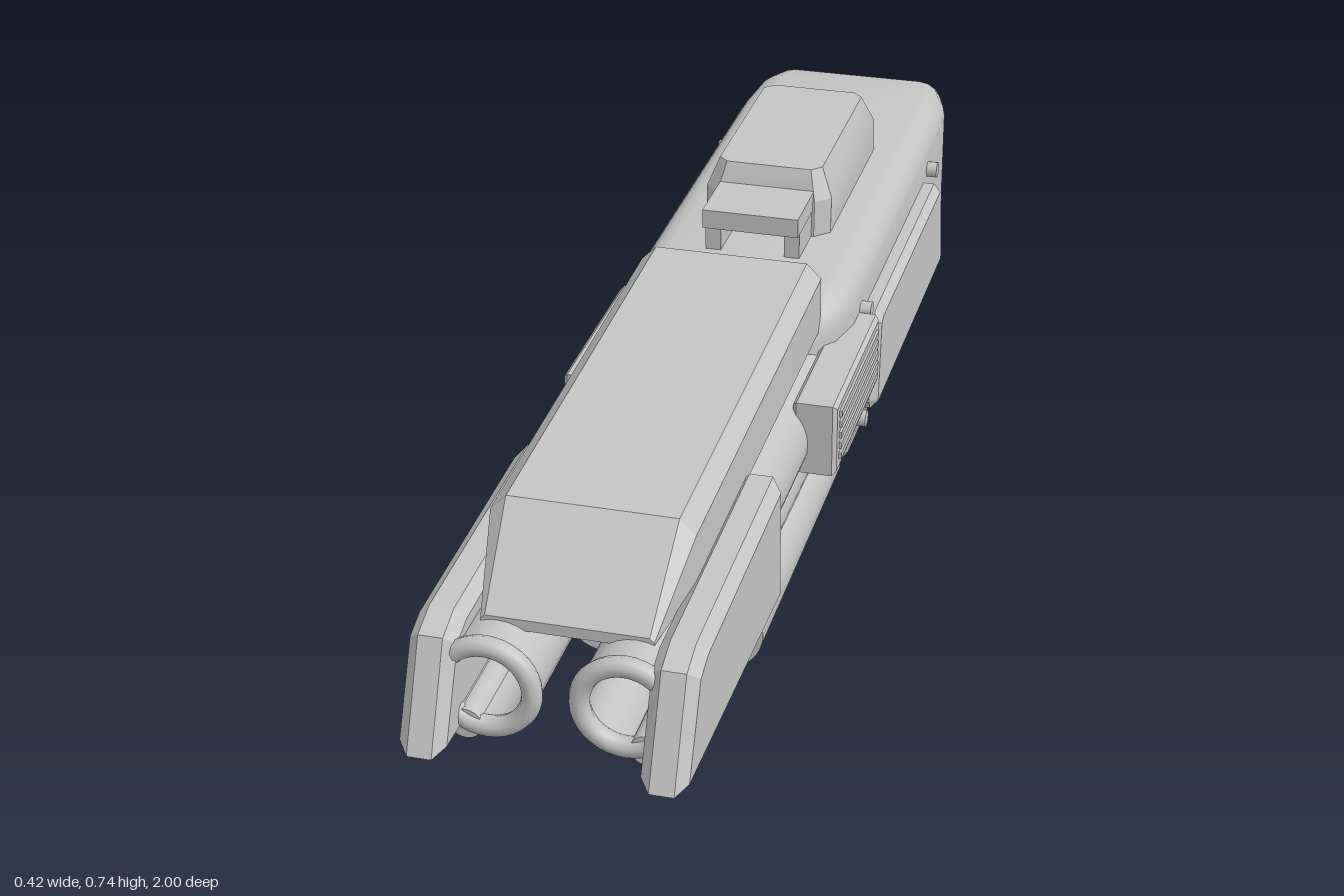
import * as THREE from 'three';
import { toCreasedNormals } from 'three/addons/utils/BufferGeometryUtils.js';

const grey = new THREE.MeshStandardMaterial({ color: 0xc4c4c4 });
grey.name = 'plain grey';

// Rounded (n > 1) or chamfered (n = 1) rectangle, counter-clockwise
function ring(hw, y0, y1, r, n) {
  const pts = [];
  const corners = [[hw - r, y1 - r], [r - hw, y1 - r], [r - hw, y0 + r], [hw - r, y0 + r]];
  corners.forEach(([cx, cy], q) => {
    for (let i = 0; i <= n; i++) {
      const a = (q + i / n) * Math.PI / 2;
      pts.push([cx + r * Math.cos(a), cy + r * Math.sin(a)]);
    }
  });
  return pts;
}

// Skin over sections [z, halfWidth, y0, y1, cornerRadius], z ascending
function loft(sections, n = 1, crease = 0.4) {
  const pos = [], index = [], m = 4 * (n + 1);
  for (const [z, hw, y0, y1, r] of sections)
    for (const [x, y] of ring(hw, y0, y1, r, n)) pos.push(x, y, z);
  for (let i = 0; i < sections.length - 1; i++)
    for (let j = 0; j < m; j++) {
      const a = i * m + j, b = i * m + (j + 1) % m;
      index.push(a, b, b + m, a, b + m, a + m);
    }
  const last = (sections.length - 1) * m;
  for (let j = 1; j < m - 1; j++) index.push(0, j + 1, j, last, last + j, last + j + 1);
  const g = new THREE.BufferGeometry();
  g.setAttribute('position', new THREE.Float32BufferAttribute(pos, 3));
  g.setIndex(index);
  return toCreasedNormals(g, crease);
}

// Side outline of [z, y] points given thickness from x0 to x1, with bevelled edges
function plate(points, x0, x1, bevel = 0.012) {
  const shape = new THREE.Shape(points.map(([z, y]) => new THREE.Vector2(z, y)));
  const g = new THREE.ExtrudeGeometry(shape, {
    depth: x1 - x0 - 2 * bevel, bevelEnabled: true, bevelSegments: 1,
    bevelSize: bevel, bevelThickness: bevel, bevelOffset: -bevel
  });
  return g.rotateY(-Math.PI / 2).translate(x1 - bevel, 0, 0);
}

function rod(r, z0, z1, x, y) {
  return new THREE.CylinderGeometry(r, r, z1 - z0, 32).rotateX(Math.PI / 2).translate(x, y, (z0 + z1) / 2);
}

function box(x0, x1, y0, y1, z0, z1) {
  return new THREE.BoxGeometry(x1 - x0, y1 - y0, z1 - z0)
    .translate((x0 + x1) / 2, (y0 + y1) / 2, (z0 + z1) / 2);
}

export function createModel() {
  const model = new THREE.Group();
  model.name = 'model';
  const add = (name, geometry) => {
    const mesh = new THREE.Mesh(geometry, grey);
    mesh.name = name;
    model.add(mesh);
  };

  // Main housing, rounded at both ends
  add('housing', loft([
    [-0.87, 0.14, 0.36, 0.605, 0.035],
    [-0.855, 0.152, 0.335, 0.62, 0.04],
    [-0.80, 0.168, 0.32, 0.63, 0.045],
    [-0.70, 0.174, 0.312, 0.633, 0.045],
    [-0.03, 0.174, 0.312, 0.633, 0.045],
    [0.03, 0.16, 0.32, 0.625, 0.045],
    [0.08, 0.12, 0.345, 0.60, 0.035]
  ], 4, 0.6));

  // Long cover over the barrels with a sloping nose
  add('topCover', loft([
    [0.04, 0.138, 0.565, 0.692, 0.022],
    [0.75, 0.138, 0.555, 0.672, 0.022],
    [0.87, 0.115, 0.55, 0.566, 0.006]
  ]));

  // Raised block and small sight on the roof
  const roof = loft([
    [0.62, 0.1, 0.17, 0.545, 0.022],
    [0.69, 0.1, 0.175, 0.535, 0.022],
    [0.735, 0.082, 0.195, 0.51, 0.015]
  ]).rotateX(-Math.PI / 2);
  add('roofBlock', roof);
  add('sightTop', box(-0.075, 0.075, 0.675, 0.705, -0.19, -0.075));
  for (const s of [-1, 1])
    add('sightLeg', box(s * 0.062 - 0.012, s * 0.062 + 0.012, 0.62, 0.676, -0.19, -0.09));

  // Lower tube mount and its tail
  add('tubeMount', loft([
    [0.06, 0.13, 0.335, 0.392, 0.02],
    [0.33, 0.13, 0.342, 0.392, 0.02],
    [0.36, 0.115, 0.35, 0.38, 0.012]
  ], 3));
  add('mountTail', loft([
    [-0.205, 0.055, 0.285, 0.315, 0.01],
    [-0.18, 0.08, 0.274, 0.325, 0.015],
    [0.1, 0.08, 0.274, 0.345, 0.015]
  ], 3));

  // Stepped underside leading to the grip
  add('undersidePlate', loft([
    [-0.75, 0.085, 0.285, 0.33, 0.012],
    [-0.41, 0.085, 0.278, 0.33, 0.012],
    [-0.38, 0.07, 0.295, 0.33, 0.012]
  ], 2));
  add('gripNeck', loft([
    [-0.882, 0.062, 0.275, 0.325, 0.015],
    [-0.86, 0.07, 0.246, 0.35, 0.015],
    [-0.60, 0.07, 0.25, 0.33, 0.015],
    [-0.565, 0.055, 0.275, 0.33, 0.015]
  ], 2));

  // Upright grip with chamfered ends
  add('grip', loft([
    [0, 0.047, 0.865, 0.98, 0.015],
    [0.028, 0.065, 0.846, 1, 0.02],
    [0.262, 0.065, 0.846, 1, 0.02],
    [0.295, 0.045, 0.865, 0.98, 0.015]
  ]).rotateX(-Math.PI / 2));

  for (const s of [-1, 1]) {
    const side = (points, a, b, bevel) => plate(points, s > 0 ? a : -b, s > 0 ? b : -a, bevel);

    // Hollow barrel with a rounded lip
    const profile = [[0.072, 0.03], [0.072, 0.55], [0.066, 0.6], [0.066, 0.92], [0.05, 0.92], [0.05, 0.78], [0.001, 0.74]]
      .map(([r, h]) => new THREE.Vector2(r, h));
    add('barrel', toCreasedNormals(new THREE.LatheGeometry(profile, 32)
      .rotateX(Math.PI / 2).translate(s * 0.092, 0.495, 0), 0.5));
    add('barrelLip', new THREE.TorusGeometry(0.061, 0.014, 10, 36).translate(s * 0.092, 0.495, 0.923));
    add('sideRod', rod(0.022, 0.05, 0.93, s * 0.12, 0.437));

    // Lower tube
    add('lowerTube', rod(0.067, -0.07, 0.44, s * 0.083, 0.297));

    // Guard blade beside the muzzle
    add('guardBlade', side([[0.49, 0.4], [1, 0.425], [0.935, 0.567], [0.89, 0.583], [0.49, 0.593]], 0.127, 0.19, 0.015));

    // Vent box with slats
    add('vent', side([[-0.07, 0.448], [0.23, 0.448], [0.23, 0.563], [-0.07, 0.563]], 0.14, 0.206, 0.006));
    for (let i = 0; i < 5; i++) {
      const y = 0.467 + i * 0.0175;
      add('ventSlat', box(s * 0.206 - 0.004, s * 0.206 + 0.004, y, y + 0.01, -0.05, 0.21));
    }

    // Side panel with four screws
    add('sidePanel', side([
      [-0.625, 0.405], [-0.615, 0.39], [-0.085, 0.39], [-0.075, 0.405],
      [-0.09, 0.54], [-0.11, 0.552], [-0.585, 0.552], [-0.602, 0.54]
    ], 0.16, 0.204, 0.012));
    for (const [z, y] of [[-0.085, 0.562], [-0.62, 0.562], [-0.065, 0.382], [-0.645, 0.382]])
      add('screw', new THREE.CylinderGeometry(0.013, 0.013, 0.03, 12)
        .rotateZ(Math.PI / 2).translate(s * 0.176, y, z));
  }
  return model;
}
